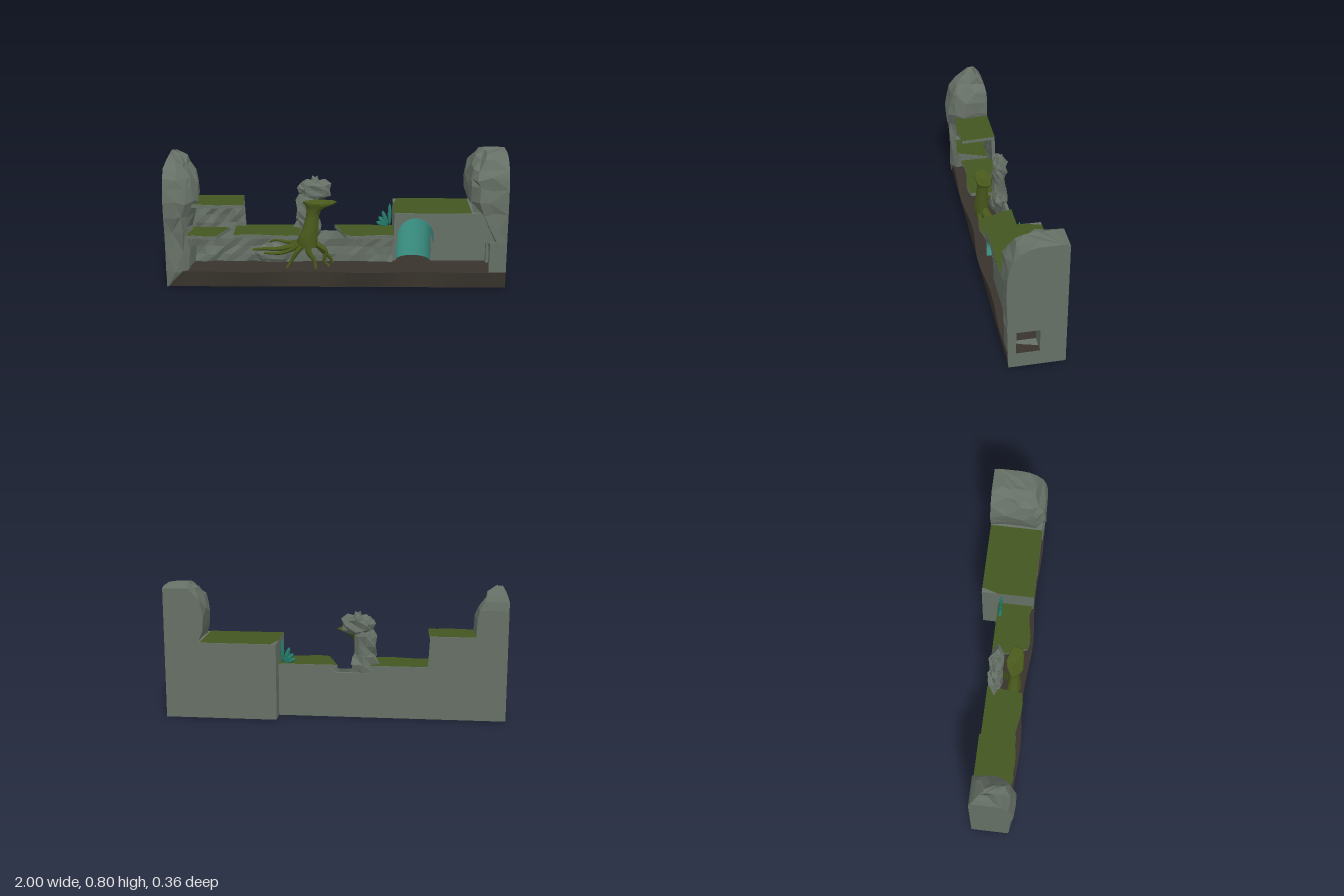
import * as THREE from 'three';

const mat = (color, flat = true) =>
  new THREE.MeshStandardMaterial({ color, flatShading: flat, side: THREE.DoubleSide });
const ROCK = mat(0x667066), GRASS = mat(0x43561f), SOIL = mat(0x38332c);
const BARK = mat(0x4a5a1c, false), TEAL = mat(0x3f9a8c, false), PLANT = mat(0x257a68);

let seed = 7;
const rnd = () => { seed = (seed * 16807) % 2147483647; return seed / 2147483647 - 0.5; };

export function createModel() {
  const root = new THREE.Group();
  const add = (name, geo, m) => {
    const mesh = new THREE.Mesh(geo, m);
    mesh.name = name;
    root.add(mesh);
    return mesh;
  };
  const shapeOf = (pts) => new THREE.Shape(pts.map(([x, y]) => new THREE.Vector2(x, y)));
  const extrudeZ = (shape, z0, z1) =>
    new THREE.ExtrudeGeometry(shape, { depth: z1 - z0, bevelEnabled: false, curveSegments: 16 }).translate(0, 0, z0);

  // Rock pillar lofted from rows [y, innerX, frontZ, outerX, backZ]
  function pillar(name, rows) {
    const pos = [], idx = [];
    const template = [[0, 0], [0.6, 0], [1, 0], [1, 0.3], [1, 0.6], [0.95, 0.85], [0.75, 1], [0.45, 1], [0, 1]];
    const n = template.length;
    rows.forEach(([y, inner, front, outer, back]) => template.forEach(([u, v], k) => {
      const j = k > 2 && k < n - 1 ? 0.032 : 0;
      const flat = k < 3;
      pos.push(outer + (inner - outer) * u + rnd() * j,
        y + (y > 0 && !flat ? rnd() * j : 0),
        back + (front - back) * v + rnd() * j * 0.8);
    }));
    for (let r = 0; r < rows.length - 1; r++) {
      for (let k = 0; k < n; k++) {
        const a = r * n + k, b = r * n + (k + 1) % n;
        if ((r + k) % 2) idx.push(a, b, a + n, b, b + n, a + n);
        else idx.push(a, b, b + n, a, b + n, a + n);
      }
    }
    const top = (rows.length - 1) * n;
    for (let k = 1; k < n - 1; k++) idx.push(top, top + k, top + k + 1);
    const g = new THREE.BufferGeometry();
    g.setAttribute('position', new THREE.Float32BufferAttribute(pos, 3));
    g.setIndex(idx);
    g.computeVertexNormals();
    return add(name, g, ROCK);
  }
  pillar('leftPillar', [
    [0, -0.98, 0.137, -1, -0.08], [0.1, -0.86, 0.145, -1, -0.08], [0.22, -0.85, 0.145, -1, -0.08],
    [0.34, -0.87, 0.15, -1, -0.08], [0.43, -0.84, 0.165, -1, -0.08], [0.52, -0.815, 0.17, -1, -0.08],
    [0.6, -0.82, 0.155, -1, -0.08], [0.66, -0.83, 0.14, -1, -0.08], [0.71, -0.86, 0.1, -1, -0.07],
    [0.75, -0.875, 0.06, -0.985, -0.05], [0.795, -0.93, 0.02, -0.96, -0.02]]);
  pillar('rightPillar', [
    [0.275, 0.9, 0.142, 1, -0.18], [0.36, 0.86, 0.145, 1, -0.18], [0.45, 0.8, 0.148, 1, -0.18],
    [0.53, 0.77, 0.148, 1, -0.18], [0.6, 0.765, 0.145, 1, -0.18], [0.66, 0.775, 0.135, 1, -0.18],
    [0.71, 0.785, 0.115, 1, -0.18], [0.75, 0.83, 0.075, 1, -0.18], [0.775, 0.85, 0.03, 1, -0.18],
    [0.785, 0.87, -0.02, 1, -0.15]]);

  // Right end wall with a square tunnel through it
  const end = shapeOf([[-0.137, 0], [0.18, 0], [0.18, 0.28], [-0.145, 0.28]]);
  end.holes.push(shapeOf([[-0.095, 0.095], [0.035, 0.095], [0.035, 0.238], [-0.095, 0.238]]));
  add('tunnelEnd', extrudeZ(end, 0.9, 1).rotateY(Math.PI / 2), ROCK);

  // Back wall of the long side, plus its rough inner face
  add('backWall', extrudeZ(shapeOf([[-1, 0], [0.34, 0], [0.34, 0.305], [0.05, 0.305], [0, 0.27], [-0.2, 0.27],
    [-0.24, 0.305], [-0.54, 0.305], [-0.55, 0.49], [-1, 0.49]]), -0.08, -0.06), ROCK);
  function roughFace(name, x0, x1, y0, y1, z, nx, ny) {
    const g = new THREE.PlaneGeometry(x1 - x0, y1 - y0, nx, ny).translate((x0 + x1) / 2, (y0 + y1) / 2, z);
    const p = g.attributes.position;
    for (let i = 0; i < p.count; i++) {
      const edge = p.getX(i) < x0 + 0.001 || p.getX(i) > x1 - 0.001;
      p.setXYZ(i, p.getX(i) + (edge ? 0 : rnd() * 0.03), p.getY(i), z + rnd() * 0.022);
    }
    add(name, g, ROCK);
  }
  roughFace('roughWall', -0.9, 0.34, 0.09, 0.29, -0.048, 22, 4);
  roughFace('upperRoughWall', -0.84, -0.55, 0.29, 0.49, -0.045, 6, 4);

  // Overhanging grass ledges with a wavy front edge
  function ledge(name, x0, x1, y, x0Front = x0, x1Front = x1) {
    const pts = [[x0, 0.08], [x1, 0.08]];
    for (let i = 0; i <= 6; i++) {
      const x = x1Front + (x0Front - x1Front) * i / 6;
      pts.push([x, -0.13 - 0.012 * Math.sin(x * 16) * (i % 6 ? 1 : 0)]);
    }
    const s = shapeOf(pts);
    add(name + 'Slab', extrudeZ(s, y - 0.018, y).rotateX(-Math.PI / 2), ROCK);
    add(name + 'Grass', new THREE.ShapeGeometry(s).rotateX(-Math.PI / 2).translate(0, y + 0.002, 0), GRASS);
  }
  ledge('upperLedge', -0.84, -0.55, 0.5, -0.84, -0.535);
  ledge('lowerLedge', -0.87, -0.62, 0.308, -0.87, -0.7);
  ledge('middleLedge', -0.6, -0.2, 0.316, -0.6, -0.22);
  ledge('rightLedge', -0.01, 0.34, 0.316, 0.06, 0.34);

  // Deep block: back panel, recessed wall and overhang, all cut by the arch
  const ax = 0.465, ar = 0.105, spring = 0.32;
  add('blockBack', new THREE.BoxGeometry(0.66, 0.455, 0.003).translate(0.67, 0.2275, -0.1785), ROCK);
  const wall = shapeOf([[0.34, 0], [1, 0], [1, 0.455], [0.34, 0.455]]);
  const hole = new THREE.Path();
  hole.moveTo(ax - ar, 0.09);
  hole.lineTo(ax - ar, spring);
  hole.absarc(ax, spring, ar, Math.PI, 0, true);
  hole.lineTo(ax + ar, 0.09);
  wall.holes.push(hole);
  add('blockWall', extrudeZ(wall, -0.177, -0.07), ROCK);
  const over = new THREE.Shape();
  over.moveTo(0.34, 0.275);
  over.lineTo(ax - ar, 0.275);
  over.lineTo(ax - ar, spring);
  over.absarc(ax, spring, ar, Math.PI, 0, true);
  over.lineTo(ax + ar, 0.275);
  over.lineTo(0.99, 0.275);
  over.lineTo(0.99, 0.455);
  over.lineTo(0.34, 0.455);
  add('blockOverhang', extrudeZ(over, -0.07, 0.137), ROCK);
  add('blockGrass', new THREE.ShapeGeometry(shapeOf([[0.34, -0.137], [0.79, -0.137], [0.79, 0.18], [0.37, 0.18], [0.34, 0.08]]))
    .rotateX(-Math.PI / 2).translate(0, 0.457, 0), GRASS);

  // Teal vault lining and domed alcove
  const r = ar - 0.001;
  add('vault', new THREE.CylinderGeometry(r, r, 0.207, 24, 1, true, Math.PI / 2, Math.PI)
    .rotateX(Math.PI / 2).translate(ax, spring, 0.0335), TEAL);
  for (const s of [-1, 1]) {
    add('vaultSide', new THREE.PlaneGeometry(0.207, spring - 0.275).rotateY(Math.PI / 2)
      .translate(ax + s * r, (spring + 0.275) / 2, 0.0335), TEAL);
  }
  add('alcove', new THREE.CylinderGeometry(r, r, spring - 0.095, 24, 1, true, Math.PI / 2, Math.PI)
    .translate(ax, (spring + 0.095) / 2, -0.07), TEAL);
  add('alcoveDome', new THREE.SphereGeometry(r, 24, 10, Math.PI, Math.PI, 0, Math.PI / 2)
    .translate(ax, spring, -0.07), TEAL);
  add('alcoveFloor', new THREE.PlaneGeometry(0.21, 0.11).rotateX(-Math.PI / 2).translate(ax, 0.094, -0.12), SOIL);

  // Soil floor with a wavy front lip, open underneath
  const soil = new THREE.PlaneGeometry(2, 1, 32, 2);
  const sp = soil.attributes.position;
  for (let i = 0; i < sp.count; i++) {
    const x = sp.getX(i), row = Math.round((0.5 - sp.getY(i)) * 2);
    const lip = 0.145 + 0.013 * Math.sin(x * 9) * (1 - x * x);
    sp.setXYZ(i, x, row === 2 ? 0 : 0.095, [-0.075, lip, 0.137][row]);
  }
  add('soilFloor', soil, SOIL);

  // Jagged rock spire behind the tree
  function boulder(name, x, y, z, sx, sy, sz) {
    const g = new THREE.SphereGeometry(1, 8, 6);
    const p = g.attributes.position;
    for (let i = 0; i < p.count; i++) {
      const a = p.getX(i), b = p.getY(i), c = p.getZ(i);
      const k = 1 + 0.22 * Math.sin(a * 7 + x * 40) * Math.cos(b * 6 + y * 30) + 0.14 * Math.sin(c * 9 + y * 50);
      p.setXYZ(i, x + a * k * sx, y + b * k * sy, z + c * k * sz);
    }
    add(name, g, ROCK);
  }
  boulder('spireBase', -0.16, 0.32, -0.035, 0.085, 0.09, 0.045);
  boulder('spireMiddle', -0.175, 0.43, -0.03, 0.065, 0.1, 0.045);
  boulder('spireTop', -0.12, 0.55, -0.03, 0.085, 0.06, 0.045);
  boulder('spireTip', -0.125, 0.59, -0.035, 0.035, 0.04, 0.03);
  boulder('spireKnob', -0.2, 0.56, -0.03, 0.03, 0.035, 0.03);
  boulder('rootBoulder', -0.38, 0.15, -0.04, 0.1, 0.06, 0.035);

  // Hollow-topped trunk, lofted from rows [y, centreX, radiusX, radiusZ]
  const trunkRows = [[0.23, -0.165, 0.05, 0.04], [0.27, -0.17, 0.058, 0.042], [0.31, -0.16, 0.052, 0.04],
    [0.36, -0.148, 0.045, 0.036], [0.42, -0.138, 0.038, 0.032], [0.455, -0.13, 0.042, 0.034],
    [0.48, -0.11, 0.065, 0.042], [0.5, -0.092, 0.098, 0.052], [0.507, -0.092, 0.092, 0.047], [0.49, -0.1, 0.002, 0.002]];
  const trunk = new THREE.CylinderGeometry(1, 1, 1, 14, trunkRows.length - 1, true);
  const tp = trunk.attributes.position;
  for (let i = 0; i < tp.count; i++) {
    const k = Math.round((tp.getY(i) + 0.5) * (trunkRows.length - 1));
    const [y, cx, rx, rz] = trunkRows[k];
    const w = 1 + 0.08 * Math.sin(5 * Math.atan2(tp.getZ(i), tp.getX(i)) + k * 0.5);
    tp.setXYZ(i, cx + tp.getX(i) * rx * w, y, 0.075 + tp.getZ(i) * rz * w);
  }
  trunk.computeVertexNormals();
  add('trunk', trunk, BARK);

  // Roots: tapered tubes along short paths
  function rootTube(points, rad) {
    const curve = new THREE.CatmullRomCurve3(points.map((p) => new THREE.Vector3(...p)));
    const g = new THREE.TubeGeometry(curve, 16, rad, 7);
    const p = g.attributes.position, v = new THREE.Vector3();
    for (let i = 0; i < p.count; i++) {
      const t = Math.floor(i / 8) / 16, c = curve.getPointAt(t);
      v.fromBufferAttribute(p, i).sub(c).multiplyScalar(1 - 0.65 * t).add(c);
      p.setXYZ(i, v.x, v.y, v.z);
    }
    g.computeVertexNormals();
    add('root', g, BARK);
  }
  [
    [[[-0.18, 0.28, 0.07], [-0.25, 0.23, 0.05], [-0.34, 0.2, 0.03], [-0.42, 0.19, 0], [-0.5, 0.175, -0.03]], 0.021],
    [[[-0.19, 0.27, 0.08], [-0.26, 0.21, 0.07], [-0.33, 0.18, 0.05], [-0.43, 0.17, 0.02]], 0.017],
    [[[-0.2, 0.26, 0.07], [-0.28, 0.235, 0.01], [-0.36, 0.24, -0.02], [-0.4, 0.22, -0.04]], 0.016],
    [[[-0.18, 0.26, 0.08], [-0.23, 0.2, 0.09], [-0.26, 0.15, 0.085], [-0.29, 0.1, 0.09]], 0.021],
    [[[-0.17, 0.26, 0.08], [-0.16, 0.2, 0.09], [-0.13, 0.15, 0.085], [-0.12, 0.095, 0.09]], 0.023],
    [[[-0.15, 0.26, 0.07], [-0.1, 0.22, 0.04], [-0.07, 0.17, 0.01], [-0.04, 0.14, -0.01], [-0.02, 0.095, -0.02]], 0.023],
    [[[-0.15, 0.27, 0.07], [-0.1, 0.23, 0.06], [-0.06, 0.19, 0.045], [-0.07, 0.13, 0.04], [-0.04, 0.095, 0.04]], 0.021],
  ].forEach(([pts, rad]) => rootTube(pts, rad));

  // Spiky plant beside the block
  [[0.32, 0.14, 0.012, 0], [0.31, 0.1, 0.014, 0.35], [0.31, 0.08, 0.016, 0.8], [0.31, 0.075, 0.014, 1.25]]
    .forEach(([x, len, rad, tilt]) => {
      const leaf = add('plantLeaf', new THREE.SphereGeometry(1, 6, 4).scale(rad, len / 2, rad).translate(0, len / 2, 0), PLANT);
      leaf.position.set(x, 0.32, -0.06);
      leaf.rotation.z = tilt;
    });
  return root;
}
